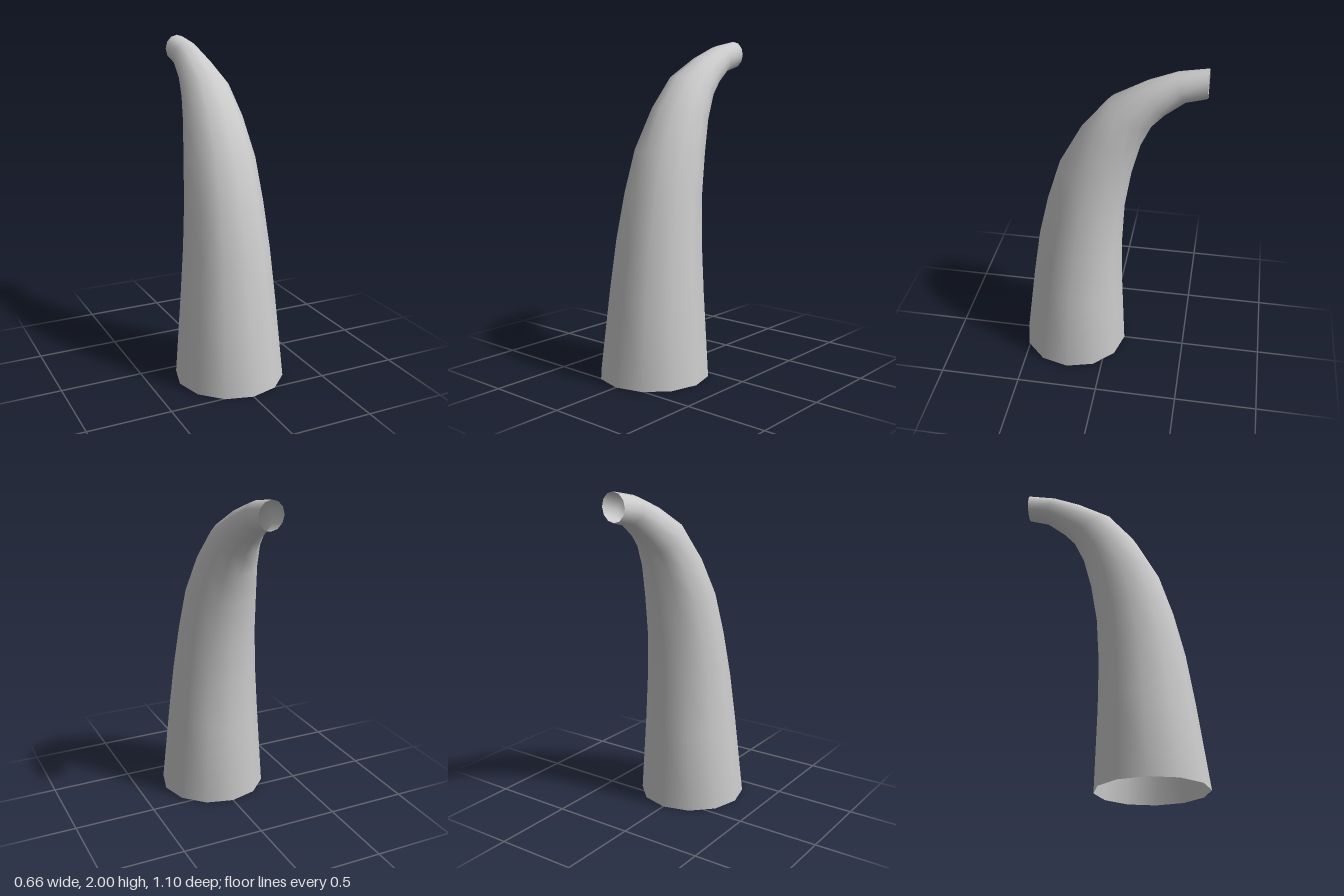
import * as THREE from 'three';

// Ring profile: front point (z, y), back point (z, y), half width in x
const RINGS = [
  [0.55, 0, -0.11, 0, 0.33],
  [0.483, 0.5, -0.09, 0.5, 0.287],
  [0.435, 0.81, -0.086, 0.8, 0.26],
  [0.37, 1.09, -0.1, 1.08, 0.235],
  [0.287, 1.353, -0.138, 1.316, 0.213],
  [0.154, 1.597, -0.186, 1.5, 0.178],
  [0, 1.782, -0.249, 1.634, 0.146],
  [-0.207, 1.9, -0.329, 1.72, 0.11],
  [-0.377, 1.968, -0.435, 1.803, 0.089],
  [-0.55, 2, -0.55, 1.833, 0.077],
];
const SIDES = 12;

// Skin of an open tube through tilted elliptical rings
function loft(rings, sides) {
  const positions = [];
  const indices = [];
  rings.forEach(([fz, fy, bz, by, halfWidth], i) => {
    for (let j = 0; j < sides; j++) {
      const a = (j / sides) * Math.PI * 2;
      const t = (1 + Math.cos(a)) / 2; // 1 at the front, 0 at the back
      positions.push(
        halfWidth * Math.sin(a),
        THREE.MathUtils.lerp(by, fy, t),
        THREE.MathUtils.lerp(bz, fz, t)
      );
      if (i === rings.length - 1) continue;
      const p = i * sides + j;
      const q = i * sides + ((j + 1) % sides);
      indices.push(p, q, p + sides, q, q + sides, p + sides);
    }
  });
  const geometry = new THREE.BufferGeometry();
  geometry.setAttribute('position', new THREE.Float32BufferAttribute(positions, 3));
  geometry.setIndex(indices);
  geometry.computeVertexNormals();
  return geometry;
}

export function createModel() {
  const group = new THREE.Group();
  group.name = 'curvedHorn';

  // Hollow horn, open at the base and at the tip
  const horn = new THREE.Mesh(
    loft(RINGS, SIDES),
    new THREE.MeshStandardMaterial({ color: 0xcccccc, side: THREE.DoubleSide })
  );
  horn.name = 'hornShell';
  group.add(horn);
  return group;
}
